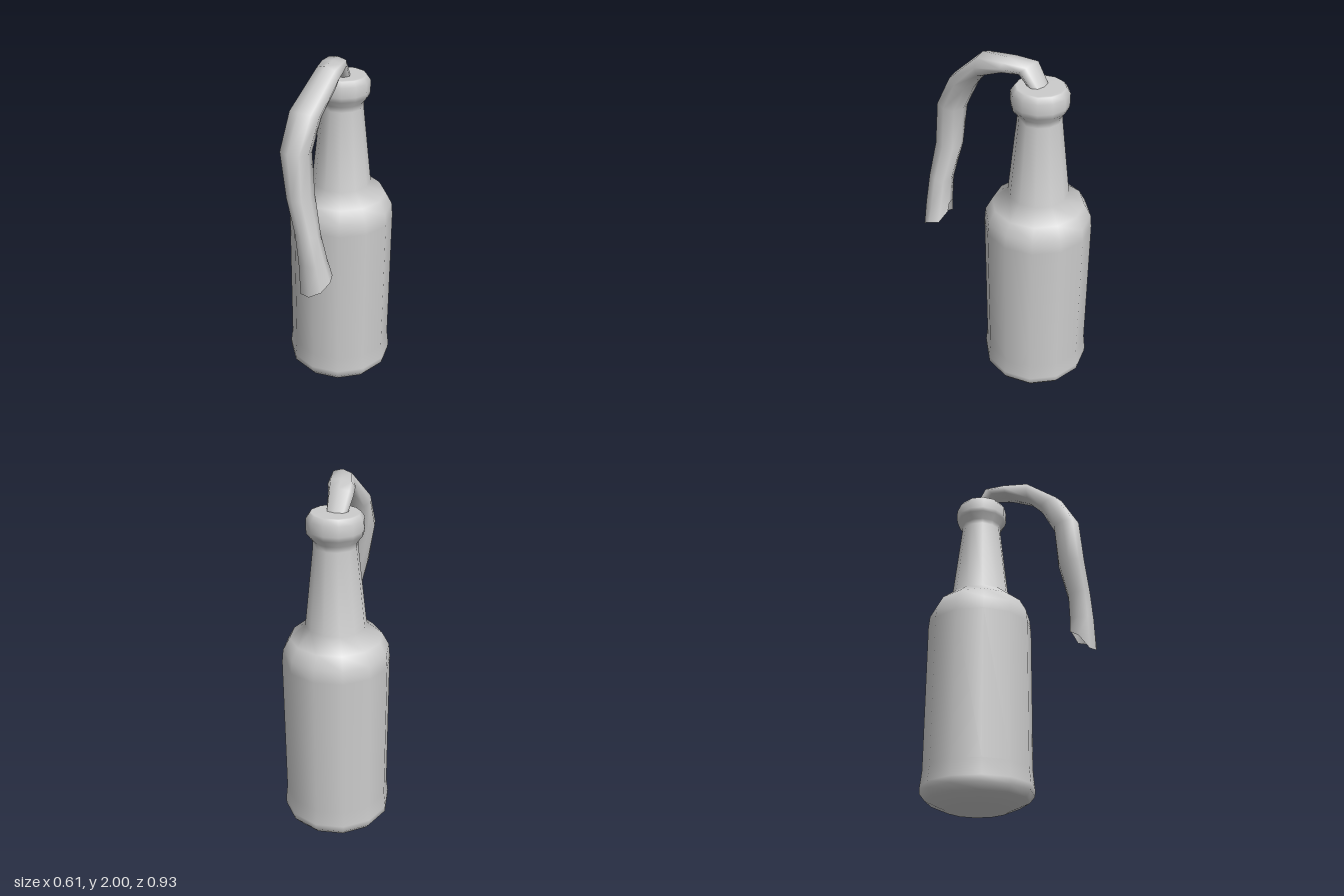
import * as THREE from 'three';

const grey = new THREE.MeshStandardMaterial({ color: 0xcccccc });
const cloth = new THREE.MeshStandardMaterial({ color: 0xcccccc, side: THREE.DoubleSide });

// Twelve-sided bottle: radius, height
function makeBottle() {
  const profile = [
    [0, 0], [0.17, 0.005], [0.275, 0.05], [0.303, 0.085], [0.305, 0.12], [0.295, 0.21],
    [0.295, 1.04], [0.288, 1.11], [0.25, 1.18], [0.165, 1.25],
    [0.116, 1.69], [0.118, 1.72], [0.147, 1.755], [0.15, 1.78], [0.15, 1.835],
    [0.13, 1.863], [0.12, 1.866], [0, 1.866],
  ].map(([r, y]) => new THREE.Vector2(r, y));
  const bottle = new THREE.Mesh(new THREE.LatheGeometry(profile, 12), grey);
  bottle.name = 'bottle';
  bottle.position.z = -0.16;
  return bottle;
}

// Rag: a rolled cloth lofted through rings, torn open at its hanging end
function makeRag() {
  // outer z, outer y, inner z, inner y, smallest x, largest x
  const rings = [
    [-0.20, 1.84, -0.12, 1.84, -0.06, 0.05],
    [-0.115, 1.97, -0.06, 1.91, -0.07, 0.07],
    [0.0, 1.985, 0.01, 1.915, -0.04, 0.115],
    [0.13, 2.0, 0.13, 1.87, 0.015, 0.155],
    [0.34, 1.82, 0.215, 1.77, -0.018, 0.145],
    [0.44, 1.64, 0.29, 1.62, -0.01, 0.14],
    [0.453, 1.4, 0.295, 1.4, 0.035, 0.155],
    [0.46, 1.22, 0.33, 1.2, 0.09, 0.21],
    [0.465, 1.06, 0.325, 1.06, 0.11, 0.25],
    [0.465, 0.95, 0.32, 0.95, 0.115, 0.283],
  ];
  const hem = [0.88, 0.92, 0.96, 0.97, 1.02, 0.99, 0.95, 0.87]; // torn lower edge
  const N = 8;
  const pos = [], index = [];
  const round = (v) => Math.sign(v) * Math.pow(Math.abs(v), 0.8);
  rings.forEach(([oz, oy, iz, iy, xl, xr], i) => {
    for (let j = 0; j < N; j++) {
      const a = (j / N) * Math.PI * 2;
      const c = round(Math.cos(a)) / 2, s = round(Math.sin(a)) / 2;
      const y = i === rings.length - 1 ? hem[j] : (oy + iy) / 2 + c * (oy - iy);
      pos.push((xl + xr) / 2 + s * (xr - xl), y, (oz + iz) / 2 + c * (oz - iz));
    }
  });
  for (let i = 0; i < rings.length - 1; i++) {
    for (let j = 0; j < N; j++) {
      if (i === rings.length - 2 && j === 4) continue; // split in the hem
      const k = (j + 1) % N;
      const a = i * N + j, b = a + N, c = i * N + k, d = c + N;
      index.push(a, b, c, c, b, d);
    }
  }
  const geo = new THREE.BufferGeometry();
  geo.setAttribute('position', new THREE.Float32BufferAttribute(pos, 3));
  geo.setIndex(index);
  geo.computeVertexNormals();
  const rag = new THREE.Mesh(geo, cloth);
  rag.name = 'rag';
  return rag;
}

export function createModel() {
  const group = new THREE.Group();
  group.name = 'bottleWithRag';
  group.add(makeBottle(), makeRag());
  return group;
}
